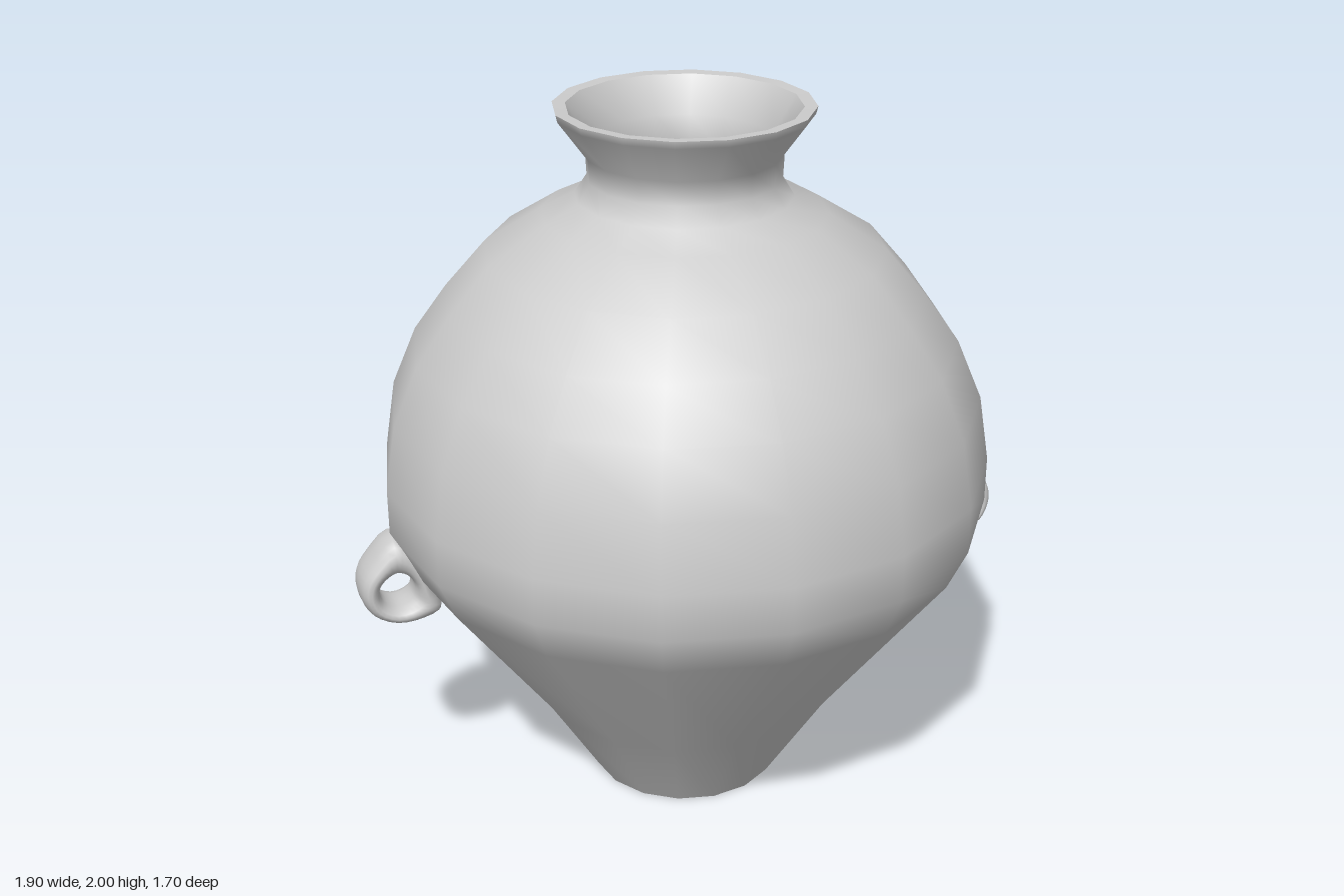
import * as THREE from 'three';

const material = new THREE.MeshStandardMaterial({ color: 0xcccccc, side: THREE.DoubleSide });
const SIDES = 16;

// Smooth sixteen-sided surface of revolution; separate pieces keep the edges between them sharp
function turned(name, profile) {
  const points = profile.map(([r, y]) => new THREE.Vector2(r, y));
  const mesh = new THREE.Mesh(new THREE.LatheGeometry(points, SIDES), material);
  mesh.name = name;
  return mesh;
}

// Lug handle: flattened ring around a round hole, thicker where it meets the wall
function lugGeometry() {
  const cx = 0.845, cy = 0.717, hole = 0.048, halfWidth = 0.077;
  const around = 32, section = 16;
  // outer edge, counter-clockwise from the outermost point
  const outer = new THREE.CatmullRomCurve3([
    [0.95, 0.727], [0.943, 0.768], [0.912, 0.815], [0.85, 0.875], [0.795, 0.845],
    [0.765, 0.77], [0.745, 0.71], [0.722, 0.645], [0.78, 0.62], [0.855, 0.618], [0.918, 0.65], [0.943, 0.69],
  ].map(([x, y]) => new THREE.Vector3(x, y, 0)), true);
  const soften = (v) => Math.sign(v) * Math.abs(v) ** 0.75;
  const positions = [], indices = [];
  for (let i = 0; i < around; i++) {
    const edge = outer.getPoint(i / around);
    const angle = Math.atan2(edge.y - cy, edge.x - cx);
    const reach = Math.hypot(edge.x - cx, edge.y - cy);
    for (let j = 0; j < section; j++) {
      const t = (j / section) * Math.PI * 2;
      const r = (reach + hole) / 2 + ((reach - hole) / 2) * Math.cos(t);
      positions.push(cx + r * Math.cos(angle), cy + r * Math.sin(angle), halfWidth * soften(Math.sin(t)));
      const a = i * section + j, b = i * section + ((j + 1) % section);
      const c = ((i + 1) % around) * section + j, d = ((i + 1) % around) * section + ((j + 1) % section);
      indices.push(a, c, b, b, c, d);
    }
  }
  const geometry = new THREE.BufferGeometry();
  geometry.setAttribute('position', new THREE.Float32BufferAttribute(positions, 3));
  geometry.setIndex(indices);
  geometry.computeVertexNormals();
  return geometry;
}

export function createModel() {
  const jar = new THREE.Group();
  jar.name = 'jar';

  // Outside: tapering foot, round belly, shoulder, pinched neck and flared mouth
  jar.add(turned('base', [[0, 0], [0.27, 0]]));
  jar.add(turned('body', [
    [0.27, 0], [0.445, 0.28], [0.795, 0.75], [0.85, 0.87], [0.85, 1.0], [0.82, 1.185],
    [0.75, 1.35], [0.657, 1.48], [0.545, 1.61], [0.387, 1.71], [0.295, 1.755],
    [0.262, 1.805], [0.265, 1.87], [0.345, 1.98], [0.35, 2.0],
  ]));

  // Lip and hollow inside
  jar.add(turned('rim', [[0.35, 2.0], [0.315, 1.998]]));
  jar.add(turned('inside', [
    [0.315, 1.998], [0.25, 1.9], [0.24, 1.8], [0.27, 1.73], [0.37, 1.67], [0.52, 1.57],
    [0.63, 1.45], [0.715, 1.33], [0.78, 1.17], [0.81, 1.0], [0.81, 0.88], [0.755, 0.77],
    [0.4, 0.29], [0.26, 0.07], [0, 0.05],
  ]));

  // A lug on each side
  const geometry = lugGeometry();
  for (const [name, turn] of [['leftHandle', 0], ['rightHandle', Math.PI]]) {
    const lug = new THREE.Mesh(geometry, material);
    lug.name = name;
    lug.rotation.y = turn;
    jar.add(lug);
  }
  return jar;
}
